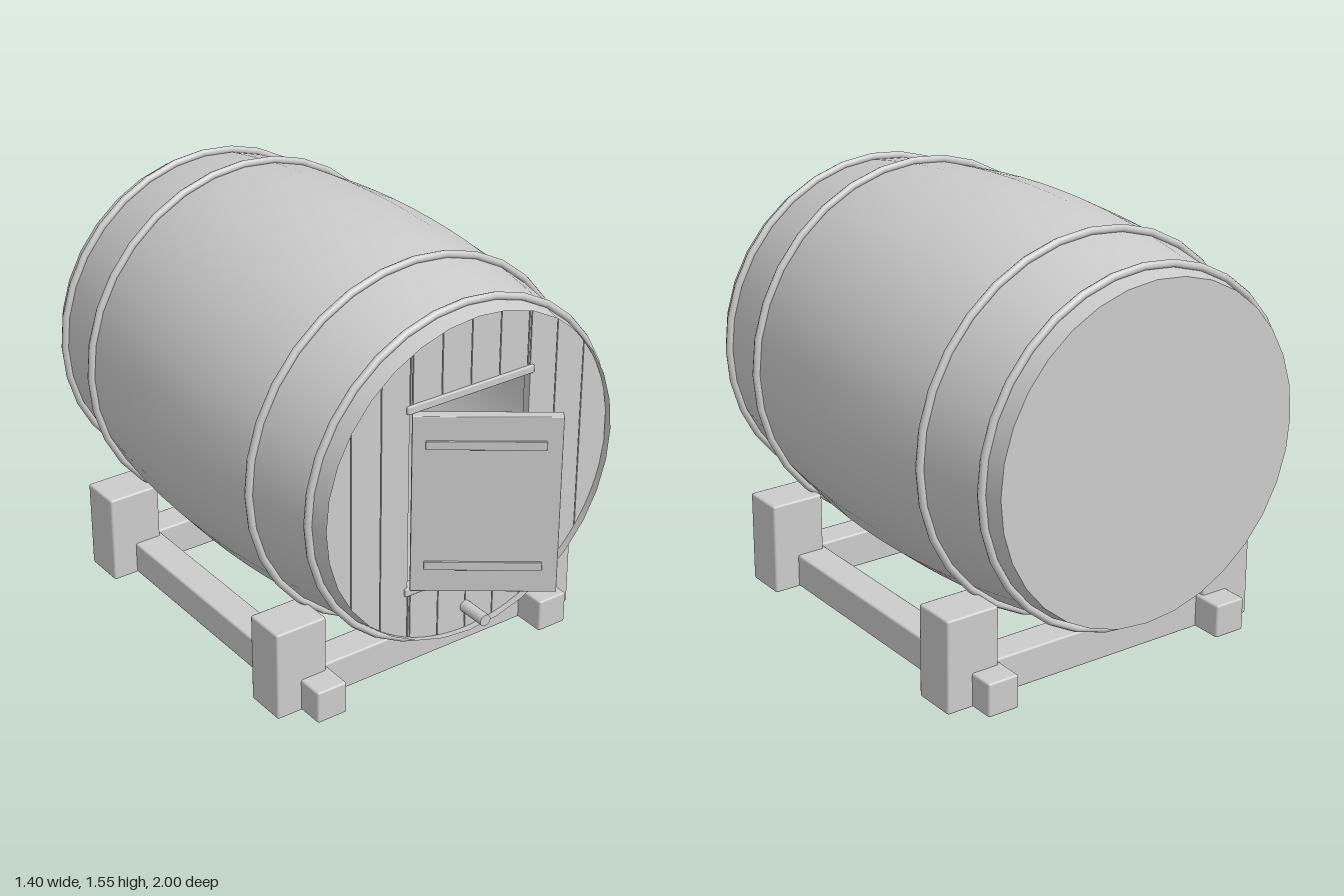
import * as THREE from 'three';
import { RoundedBoxGeometry } from 'three/addons/geometries/RoundedBoxGeometry.js';

const CY = 0.848, BACK = -1, FRONT = 0.726, SIDES = 32;
const MID = (FRONT + BACK) / 2, HALF = (FRONT - BACK) / 2;
const bulge = z => 0.7 - 0.097 * ((z - MID) / HALF) ** 2;

export function createModel() {
  const model = new THREE.Group();
  const wood = new THREE.MeshStandardMaterial({ color: 0xcccccc, side: THREE.DoubleSide });
  wood.name = 'pale grey';

  const add = (parent, name, geometry, x = 0, y = 0, z = 0) => {
    const mesh = new THREE.Mesh(geometry, wood);
    mesh.name = name;
    mesh.position.set(x, y, z);
    parent.add(mesh);
    return mesh;
  };
  // Box given by its limits on each axis, with small bevels
  const block = (parent, name, [x0, x1], [y0, y1], [z0, z1], r = 0.008) =>
    add(parent, name, new RoundedBoxGeometry(x1 - x0, y1 - y0, z1 - z0, 1, r),
      (x0 + x1) / 2, (y0 + y1) / 2, (z0 + z1) / 2);

  // Barrel: thin bulged wall, open at the front, with a flat back head
  const barrel = new THREE.Group();
  barrel.name = 'barrel';
  barrel.position.y = CY;
  model.add(barrel);
  const profile = Array.from({ length: 17 }, (_, i) => {
    const z = BACK + (i / 16) * (FRONT - BACK);
    return new THREE.Vector2(bulge(z), z);
  });
  add(barrel, 'barrelWall', new THREE.LatheGeometry(profile, SIDES).rotateX(Math.PI / 2));
  add(barrel, 'backHead', new THREE.CircleGeometry(bulge(BACK), SIDES).rotateY(Math.PI), 0, 0, BACK);

  // Hoops
  for (const z of [0.655, 0.38, -0.655, -0.93])
    add(barrel, 'hoop', new THREE.TorusGeometry(bulge(z) + 0.01, 0.014, 8, SIDES), 0, 0, z);

  // Front planks, cut to the round head and set back from the barrel's edge;
  // the middle ones leave the doorway open
  const R = 0.606, GAP = 0.002;
  const arcY = x => Math.sqrt(Math.max(0, R * R - x * x));
  const plank = (x0, x1, bottom, top) => {
    const n = 8, xs = Array.from({ length: n + 1 }, (_, i) => x0 + GAP + (x1 - x0 - 2 * GAP) * i / n);
    const shape = new THREE.Shape([
      ...xs.map(x => new THREE.Vector2(x, bottom ?? -arcY(x))),
      ...xs.reverse().map(x => new THREE.Vector2(x, top ?? arcY(x))),
    ]);
    add(barrel, 'frontPlank', new THREE.ExtrudeGeometry(shape, { depth: 0.03, bevelEnabled: false }), 0, 0, 0.666);
  };
  const edges = [0.25, 0.365, 0.485, 0.605];
  for (let i = 0; i < 3; i++) {
    plank(edges[i], edges[i + 1]);
    plank(-edges[i + 1], -edges[i]);
  }
  const middle = [-0.25, -0.24, -0.12, 0, 0.12, 0.24, 0.25];
  for (let i = 0; i < 6; i++) {
    plank(middle[i], middle[i + 1], 1.17 - CY, null);
    plank(middle[i], middle[i + 1], null, 0.485 - CY);
  }

  // Door frame bars and tap
  block(model, 'lintel', [-0.265, 0.263], [1.161, 1.19], [0.66, 0.706], 0.004);
  block(model, 'sill', [-0.265, 0.263], [0.465, 0.496], [0.66, 0.706], 0.004);
  add(model, 'tap', new THREE.CylinderGeometry(0.022, 0.022, 0.14, 16).rotateX(Math.PI / 2), 0, 0.329, 0.74);

  // Open door, hinged on one side
  const door = new THREE.Group();
  door.name = 'door';
  door.position.set(-0.245, 0, 0.7);
  door.rotation.y = -0.63;
  model.add(door);
  block(door, 'doorPanel', [0, 0.492], [0.494, 1.16], [-0.02, 0.019], 0.003);
  for (const y of [0.597, 1.056])
    block(door, 'doorStrap', [0.045, 0.44], [y - 0.016, y + 0.016], [0.015, 0.026], 0.002);

  // Cradle: posts, long rails, cross beams
  const cradle = new THREE.Group();
  cradle.name = 'cradle';
  model.add(cradle);
  for (const [z0, z1] of [[0.334, 0.496], [-0.773, -0.607]]) {
    block(cradle, 'post', [0.445, 0.65], [0, 0.344], [z0, z1]);
    block(cradle, 'post', [-0.65, -0.445], [0, 0.344], [z0, z1]);
    block(cradle, 'crossBeam', [-0.64, 0.64], [0.001, 0.135], [z0 + 0.02, z1 - 0.02]);
  }
  block(cradle, 'rail', [0.43, 0.552], [0.002, 0.127], [-0.868, 0.597]);
  block(cradle, 'rail', [-0.552, -0.43], [0.002, 0.127], [-0.868, 0.597]);
  return model;
}
